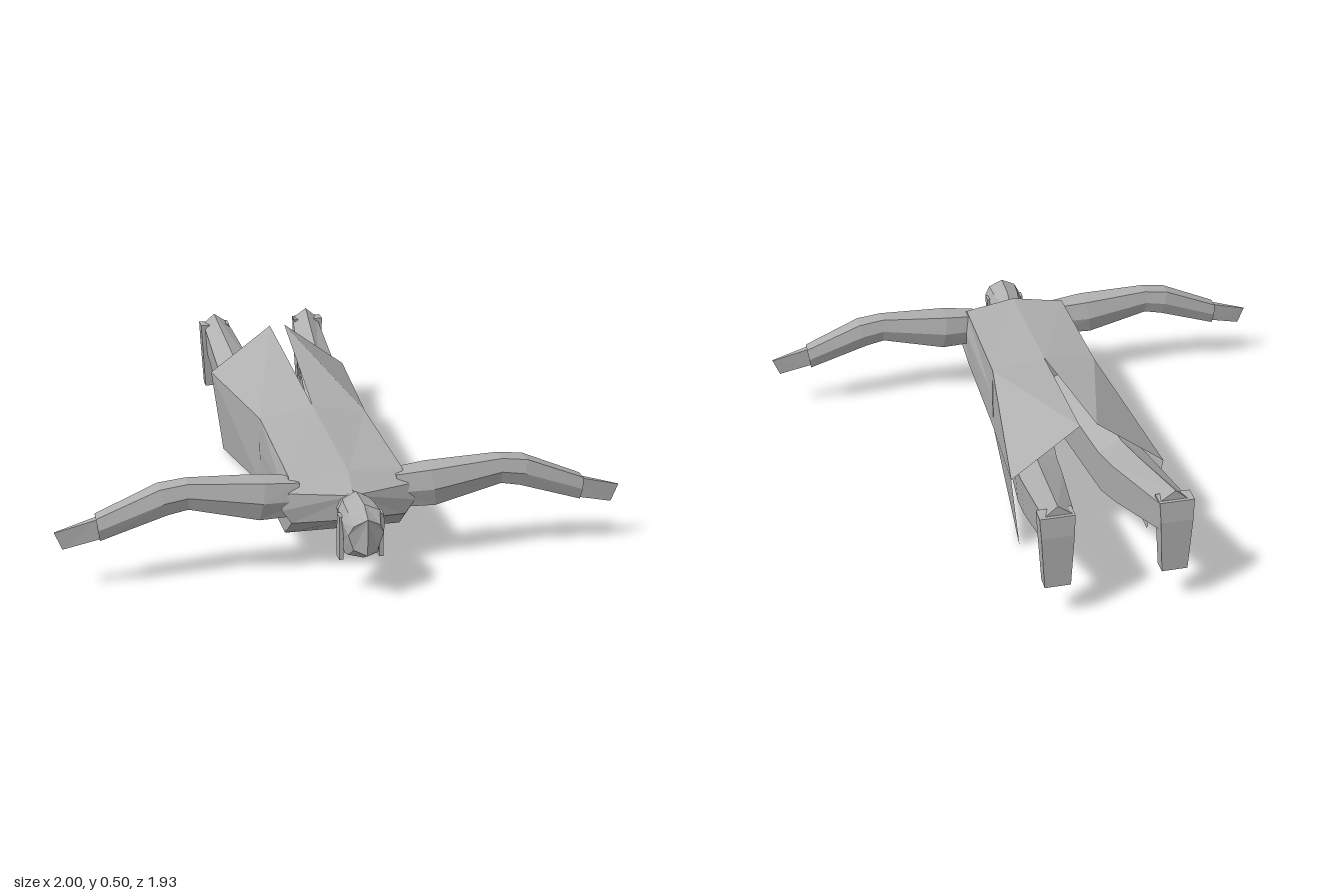
import * as THREE from 'three';

const grey = new THREE.MeshStandardMaterial({ color: 0xb0b0b0, flatShading: true, side: THREE.DoubleSide });
grey.name = 'plain grey';

// Faceted mesh from triangles, turned outward by its signed volume when closed
function facetMesh(name, tris, closed = true) {
  const c = new THREE.Vector3();
  let volume = 0;
  for (const [a, b, d] of tris) volume += a.dot(c.crossVectors(b, d));
  const flip = closed && volume < 0;
  const points = tris.flatMap(([a, b, d]) => (flip ? [a, d, b] : [a, b, d]));
  const geometry = new THREE.BufferGeometry().setFromPoints(points);
  geometry.computeVertexNormals();
  const mesh = new THREE.Mesh(geometry, grey);
  mesh.name = name;
  return mesh;
}

const vec = (p) => new THREE.Vector3(...p);

// Skin over equal-length cross-section loops, with capped ends
function loft(name, loops) {
  const rings = loops.map((loop) => loop.map(vec));
  const n = rings[0].length;
  const tris = [];
  for (let k = 0; k < rings.length - 1; k++) {
    const a = rings[k], b = rings[k + 1];
    for (let i = 0; i < n; i++) {
      const j = (i + 1) % n;
      tris.push([a[i], a[j], b[j]], [a[i], b[j], b[i]]);
    }
  }
  const first = rings[0], last = rings[rings.length - 1];
  for (let i = 1; i < n - 1; i++) {
    tris.push([first[0], first[i + 1], first[i]], [last[0], last[i], last[i + 1]]);
  }
  return facetMesh(name, tris);
}

// Complete a half section (centre top to centre bottom) across x = 0
const mirrored = (half) => [...half, ...half.slice(1, -1).reverse().map(([x, y, z]) => [-x, y, z])];

export function createModel() {
  const model = new THREE.Group();
  model.name = 'flyingFigure';

  // Torso, from the collar to the waist
  model.add(loft('torso', [
    [[0, 0.31, 0.76], [0.21, 0.31, 0.7], [0.235, 0.25, 0.7], [0.2, 0.2, 0.7], [0, 0.22, 0.755]],
    [[0, 0.37, 0.68], [0.2, 0.35, 0.65], [0.215, 0.28, 0.65], [0.205, 0.125, 0.61], [0, 0.12, 0.6]],
    [[0, 0.4, 0.11], [0.2, 0.365, 0.12], [0.203, 0.25, 0.12], [0.2, 0.105, 0.12], [0, 0.085, 0.12]],
  ].map(mirrored)));

  // Neck and head, with a ridged crown
  const headSection = (z, w, top, bottom, dz = 0) => mirrored([
    [0, top, z + dz], [w * 0.75, top - 0.025, z + dz / 2], [w, top - 0.06, z],
    [w * 0.7, bottom + 0.015, z], [0, bottom, z + dz],
  ]);
  model.add(loft('neck', [headSection(0.67, 0.06, 0.33, 0.19), headSection(0.79, 0.05, 0.32, 0.2)]));
  model.add(loft('head', [
    headSection(0.757, 0.05, 0.32, 0.18), headSection(0.79, 0.06, 0.34, 0.14),
    headSection(0.83, 0.067, 0.343, 0.12), headSection(0.91, 0.072, 0.343, 0.15),
    headSection(0.942, 0.06, 0.31, 0.18, 0.023),
  ]));

  for (const side of [1, -1]) {
    const label = side > 0 ? 'left' : 'right';
    const limb = (part, loops) =>
      model.add(loft(label + part, loops.map((loop) => loop.map(([x, y, z]) => [side * x, y, z]))));

    // Strip hanging beside the face
    const ear = new THREE.Mesh(new THREE.BoxGeometry(0.014, 0.155, 0.04), grey);
    ear.name = label + 'Ear';
    ear.position.set(side * 0.069, 0.213, 0.862);
    model.add(ear);

    // Sleeve: six-sided sections running outward [xTop, xBottom, top, bottom, z, halfDepth]
    limb('Arm', [
      [0.17, 0.17, 0.34, 0.22, 0.65, 0.05],
      [0.29, 0.31, 0.352, 0.22, 0.65, 0.065],
      [0.55, 0.55, 0.367, 0.275, 0.649, 0.045],
      [0.645, 0.62, 0.355, 0.262, 0.648, 0.048],
      [0.86, 0.85, 0.265, 0.185, 0.648, 0.036],
    ].map(([xt, xb, top, bottom, z, d]) => {
      const xm = (xt + xb) / 2, mid = (top + bottom) / 2;
      return [[xt, top, z - d * 0.7], [xt, top, z + d * 0.7], [xm, mid, z + d],
        [xb, bottom, z + d * 0.7], [xb, bottom, z - d * 0.7], [xm, mid, z - d]];
    }));

    // Flat hand, thin from front to back
    limb('Hand', [[0.85, 0.85, 0.262, 0.188, 0.014], [1.0, 0.975, 0.22, 0.157, 0.003]].map(
      ([xt, xb, top, bottom, d]) => [[xt, top, 0.652 - d], [xt, top, 0.652 + d],
        [xb, bottom, 0.652 + d], [xb, bottom, 0.652 - d]]));

    // Leg: thigh, knee and ankle [z, centre, halfWidth, top, bottom]
    limb('Leg', [
      [0.14, 0.1, 0.09, 0.34, 0.12], [-0.42, 0.155, 0.078, 0.33, 0.125],
      [-0.57, 0.167, 0.075, 0.36, 0.17], [-0.945, 0.195, 0.052, 0.45, 0.3],
    ].map(([z, x, w, top, bottom]) => [
      [x + 0.005, top, z], [x + w, top - 0.04, z], [x + w * 0.85, bottom, z],
      [x - w * 0.85, bottom, z], [x - w, top - 0.04, z],
    ]));

    // Foot with toes pointing down [y, halfWidth, back z, front z]
    limb('Foot', [
      [0.415, 0.06, -0.957, -0.9], [0.34, 0.056, -0.965, -0.9], [0.14, 0.045, -0.962, -0.912],
    ].map(([y, w, back, front]) => [
      [0.203 - w, y, back], [0.203 + w, y, back], [0.203 + w, y, front], [0.203 - w, y, front],
    ]));

    // Open coat tail: back panel and side panel, split along the centre
    const [split, hem, hip, corner, low, tip] = [
      [0, 0.4, 0.11], [0.03, 0.503, -0.565], [0.2, 0.365, 0.12],
      [0.275, 0.32, -0.567], [0.2, 0.105, 0.12], [0.238, 0, -0.52],
    ].map(([x, y, z]) => vec([side * x, y, z]));
    const panels = [[split, hip, hem], [hip, corner, hem], [hip, low, corner], [low, tip, corner]];
    model.add(facetMesh(label + 'CoatTail', side > 0 ? panels : panels.map(([a, b, c]) => [a, c, b]), false));
  }
  return model;
}
